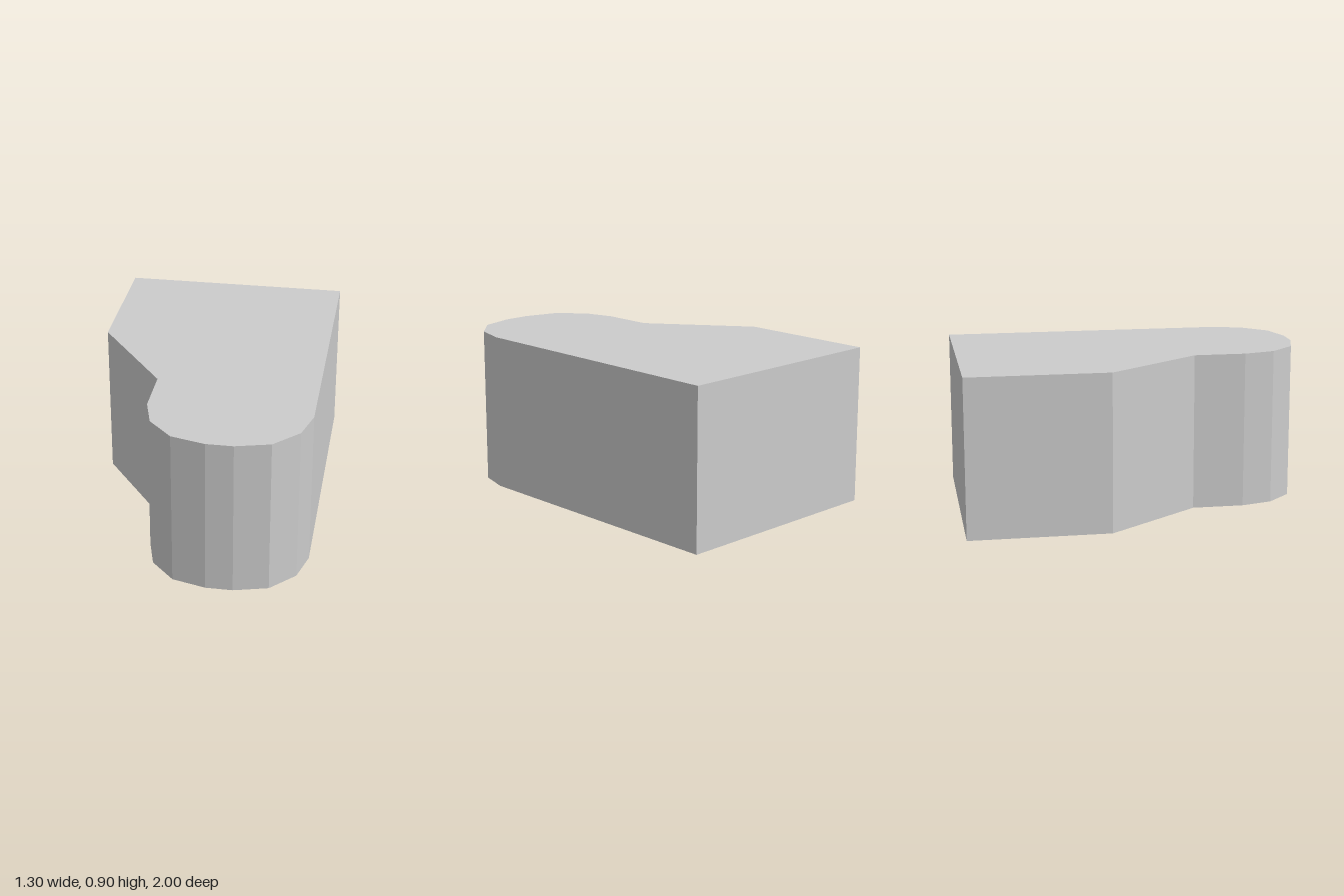
import * as THREE from 'three';

const HEIGHT = 0.9;
const NOSE_X = 0.2; // centre line of the rounded front end

export function createModel() {
  const group = new THREE.Group();
  group.name = 'block';

  // Half of the rounded end: [offset from centre line, z]
  const half = [[0.45, 0.63], [0.4, 0.81], [0.265, 0.95], [0.075, 1]];
  const rightSide = half.map(([d, z]) => [NOSE_X - d, z]);
  const leftSide = half.map(([d, z]) => [NOSE_X + d, z]).reverse();

  // Plan outline in x, z: square back, slanted shoulder, rounded front
  const outline = [
    [0.65, -1], [-0.65, -1], [-0.65, -0.2], [-0.25, 0.335],
    ...rightSide, ...leftSide,
  ];
  const shape = new THREE.Shape(outline.map(([x, z]) => new THREE.Vector2(x, -z)));

  // Extrude the plan upwards
  const geometry = new THREE.ExtrudeGeometry(shape, { depth: HEIGHT, bevelEnabled: false });
  geometry.rotateX(-Math.PI / 2);

  const body = new THREE.Mesh(
    geometry,
    new THREE.MeshStandardMaterial({ color: 0xcccccc, flatShading: true }),
  );
  body.name = 'body';
  group.add(body);
  return group;
}
